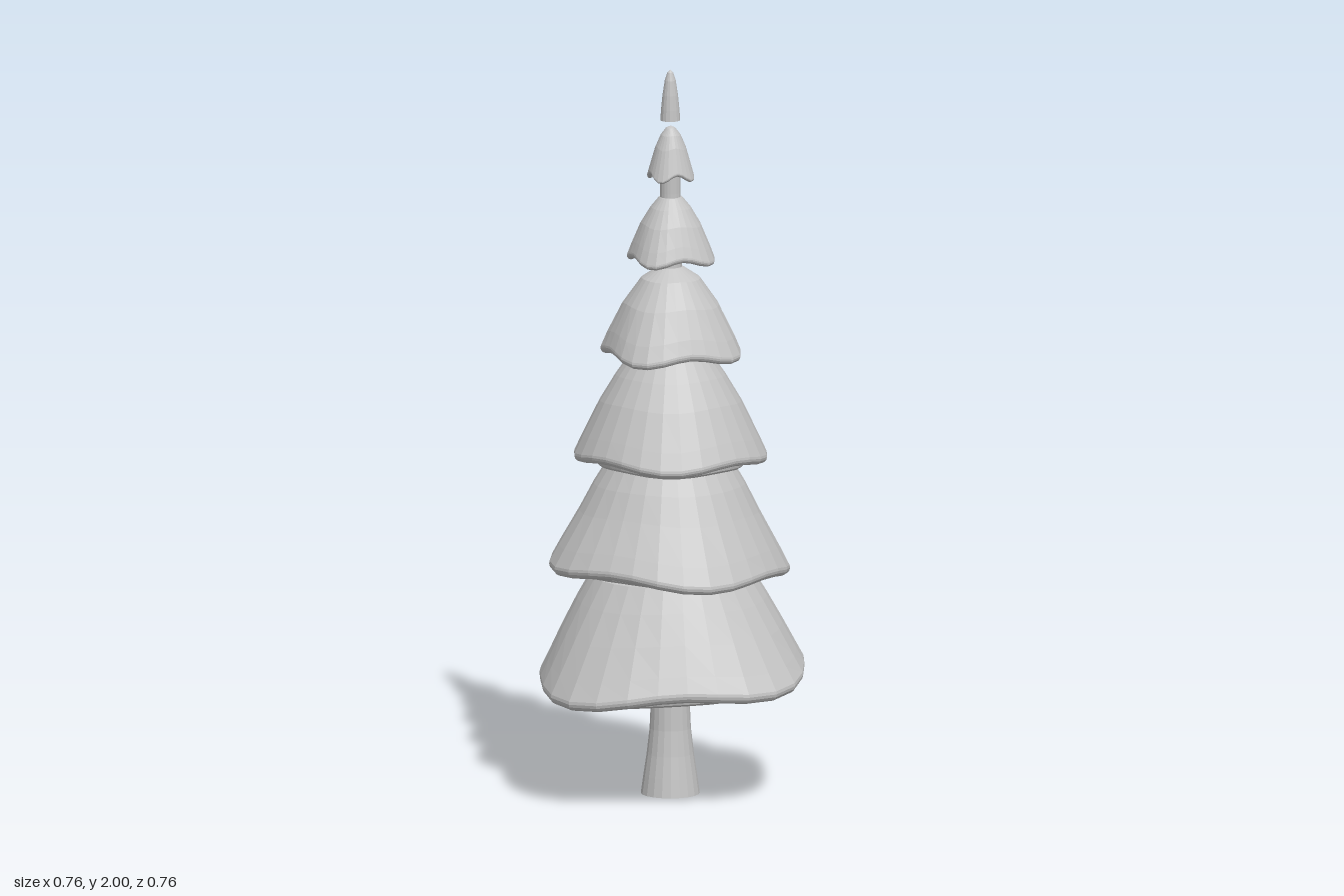
import * as THREE from 'three';

const SEGMENTS = 28;
const foliage = new THREE.MeshStandardMaterial({ color: 0xc4c4c4, flatShading: true });
foliage.name = 'plain grey';

// Revolve [radius, y] points, running from the underside outwards and up.
function revolve(name, points, segments = SEGMENTS) {
  const profile = points.map(([r, y]) => new THREE.Vector2(r, y));
  const mesh = new THREE.Mesh(new THREE.LatheGeometry(profile, segments), foliage);
  mesh.name = name;
  return mesh;
}

// Give a revolved part four drooping lobes and a sideways tilt, fading to nothing at the top.
function sculpt(mesh, { top, bottom, radius, lobe, droop, phase, tilt, dx }) {
  const pos = mesh.geometry.attributes.position;
  const start = THREE.MathUtils.degToRad(phase);
  for (let i = 0; i < pos.count; i++) {
    const x = pos.getX(i), y = pos.getY(i), z = pos.getZ(i);
    const wave = Math.cos(4 * (Math.atan2(z, x) - start));
    const fade = THREE.MathUtils.clamp((top - y) / (top - bottom - 0.03), 0, 1);
    const scale = 1 + (lobe / radius) * wave * fade;
    const rim = Math.min(1, Math.hypot(x, z) / radius);
    pos.setXYZ(i, x * scale + dx, y + fade * (tilt * x - droop * wave * rim), z * scale);
  }
  mesh.geometry.computeVertexNormals();
  return mesh;
}

// Rim radius, bottom and top heights, bead thickness, outer slope and optional collar of each tier.
const TIERS = [
  { radius: 0.378, bottom: 0.312, top: 0.63, bead: 0.042, lobe: 0.02, droop: 0.012, phase: 63, tilt: 0.055, dx: 0,
    slope: [[0.352, 0.385], [0.308, 0.465], [0.262, 0.545], [0.222, 0.61]], collar: [0.3, 0.298, 0.345] },
  { radius: 0.32, bottom: 0.618, top: 0.93, bead: 0.038, lobe: 0.011, droop: 0.011, phase: 3, tilt: -0.045, dx: -0.007,
    slope: [[0.295, 0.69], [0.243, 0.785], [0.205, 0.86], [0.175, 0.91]], collar: [0.25, 0.608, 0.645] },
  { radius: 0.257, bottom: 0.928, top: 1.23, bead: 0.034, lobe: 0.006, droop: 0.01, phase: 20, tilt: -0.01, dx: -0.004,
    slope: [[0.236, 0.995], [0.19, 1.09], [0.148, 1.16], [0.113, 1.21]], collar: [0.196, 0.908, 0.945] },
  { radius: 0.188, bottom: 1.214, top: 1.465, bead: 0.03, lobe: 0.013, droop: 0.011, phase: 45, tilt: 0, dx: -0.004,
    slope: [[0.17, 1.275], [0.13, 1.355], [0.08, 1.425], [0.035, 1.455]] },
  { radius: 0.117, bottom: 1.475, top: 1.655, bead: 0.022, lobe: 0.009, droop: 0.01, phase: 45, tilt: 0, dx: -0.004,
    slope: [[0.105, 1.52], [0.082, 1.575], [0.055, 1.62], [0.032, 1.648]] },
  { radius: 0.063, bottom: 1.704, top: 1.845, bead: 0.014, lobe: 0.004, droop: 0.011, phase: 45, tilt: 0, dx: -0.004,
    slope: [[0.055, 1.74], [0.042, 1.785], [0.027, 1.82], [0.013, 1.839]] },
];

// Drooping skirt of branches with a rounded rim and a hollow underside.
function makeTier(tier, index) {
  const { radius: R, bottom: b, top, bead, slope, collar } = tier;
  const group = new THREE.Group();
  group.name = `branchTier${index + 1}`;
  const rim = [];
  for (let i = 0; i <= 7; i++) {
    const a = -Math.PI * 0.75 + (i / 7) * Math.PI * 0.87;
    rim.push([R - bead / 2 + (bead / 2) * Math.cos(a), b + bead / 2 + (bead / 2) * Math.sin(a)]);
  }
  const skirt = revolve('skirt', [
    [0.02, b + bead * 2], [R * 0.6, b + bead * 1.5], [R * 0.78, b + bead * 0.8],
    ...rim, ...slope, [0, top],
  ]);
  group.add(sculpt(skirt, tier));

  // Smaller rounded layer peeping out below the rim
  if (collar) {
    const [r, y0, y1] = collar;
    const layer = revolve('underLayer', [
      [0.02, y0 + 0.03], [r * 0.63, y0 + 0.012], [r * 0.9, y0 + 0.004], [r * 0.96, y0],
      [r * 0.99, y0 + 0.006], [r, y0 + 0.016], [r * 0.97, y0 + 0.028], [r * 0.9, y1],
    ]);
    group.add(sculpt(layer, { ...tier, top: y1 + 1, bottom: y0, radius: r, lobe: 0.003, droop: 0.003 }));
  }
  return group;
}

export function createModel() {
  const tree = new THREE.Group();
  tree.name = 'coniferTree';

  // Flared trunk running up through the tiers
  const trunk = revolve('trunk', [
    [0, 0], [0.08, 0], [0.073, 0.05], [0.064, 0.11], [0.056, 0.18], [0.052, 0.27],
    [0.048, 0.5], [0.04, 1.0], [0.032, 1.45], [0.028, 1.66], [0.028, 1.74], [0, 1.75],
  ], 20);
  trunk.position.x = -0.005;
  tree.add(trunk);

  TIERS.forEach((tier, i) => tree.add(makeTier(tier, i)));

  // Pointed tip hovering above the last tier
  const tip = revolve('tip', [
    [0, 1.86], [0.027, 1.86], [0.025, 1.89], [0.021, 1.93], [0.015, 1.97], [0.008, 1.992], [0, 2],
  ], 16);
  tip.position.x = -0.005;
  tree.add(tip);

  return tree;
}
